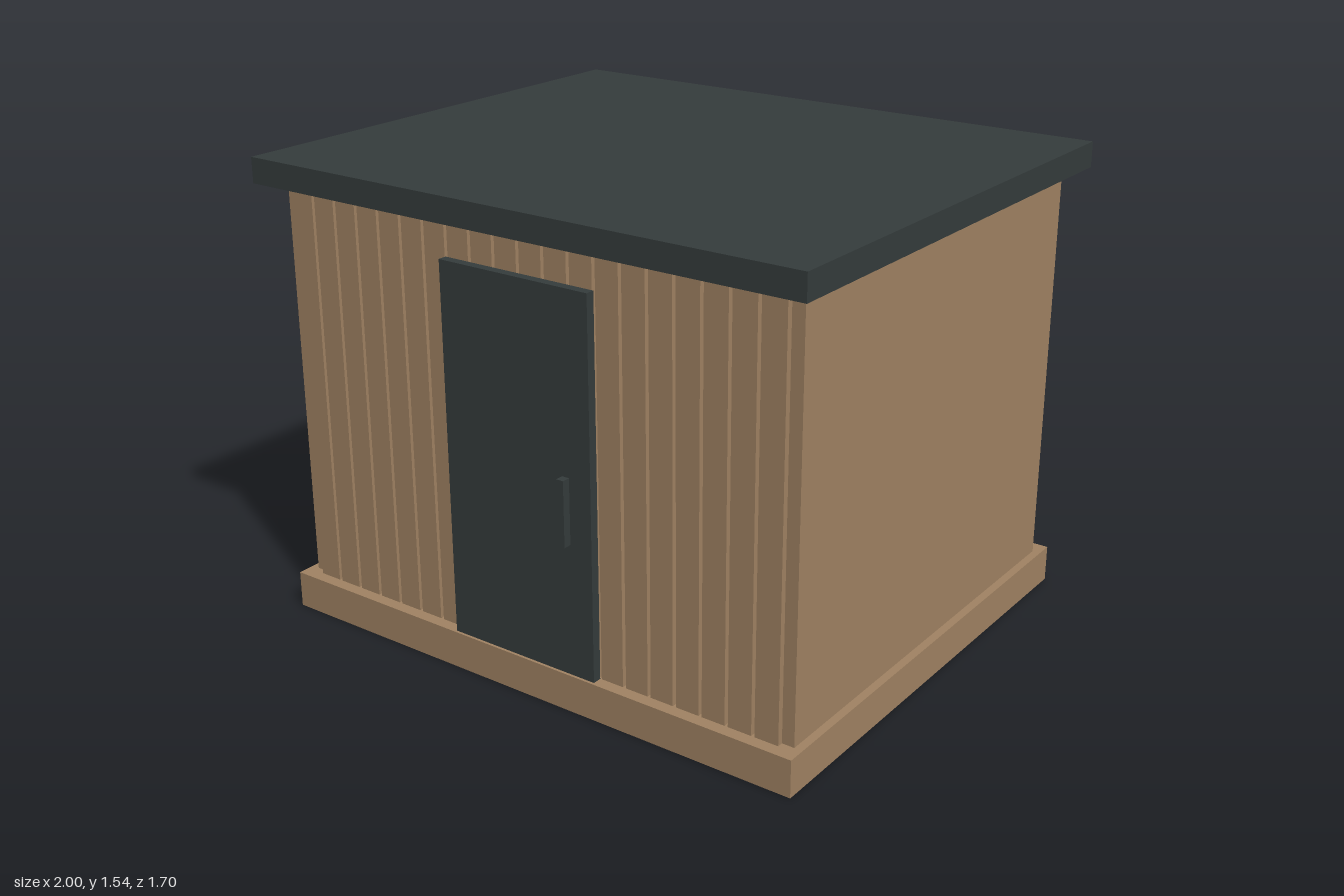
import * as THREE from 'three';

export function createModel() {
  const model = new THREE.Group();
  model.name = 'gardenShed';

  const wood = new THREE.MeshStandardMaterial({ color: 0xa18363 });
  wood.name = 'wood';
  const charcoal = new THREE.MeshStandardMaterial({ color: 0x353c3c });
  charcoal.name = 'charcoal';

  // Box given by its lower and upper limits on each axis
  function box(name, material, [x0, x1], [y0, y1], [z0, z1], parent = model) {
    const mesh = new THREE.Mesh(new THREE.BoxGeometry(x1 - x0, y1 - y0, z1 - z0), material);
    mesh.position.set((x0 + x1) / 2, (y0 + y1) / 2, (z0 + z1) / 2);
    mesh.name = name;
    parent.add(mesh);
  }

  const floorY = 0.122, roofY = 1.457;
  const wallY = [floorY, roofY];

  box('base', wood, [-0.97, 0.97], [0, floorY], [-0.818, 0.818]);
  box('roof', charcoal, [-1, 1], [roofY, 1.54], [-0.848, 0.848]);

  // Solid side walls
  box('leftWall', wood, [0.901, 0.943], wallY, [-0.759, 0.759]);
  box('rightWall', wood, [-0.943, -0.901], wallY, [-0.759, 0.759]);

  // Open slatted front and back walls
  const count = 20, width = 0.0795, pitch = (1.804 - width) / (count - 1);
  for (const [name, z] of [['frontSlats', [0.759, 0.778]], ['backSlats', [-0.778, -0.759]]]) {
    const wall = new THREE.Group();
    wall.name = name;
    model.add(wall);
    for (let i = 0; i < count; i++) {
      const x = -0.902 + i * pitch;
      box('slat', wood, [x, x + width], wallY, z, wall);
    }
  }

  // Door and its handle
  box('door', charcoal, [-0.273, 0.273], [floorY, 1.335], [0.779, 0.809]);
  box('doorHandle', charcoal, [0.182, 0.207], [0.562, 0.773], [0.823, 0.85]);

  return model;
}
